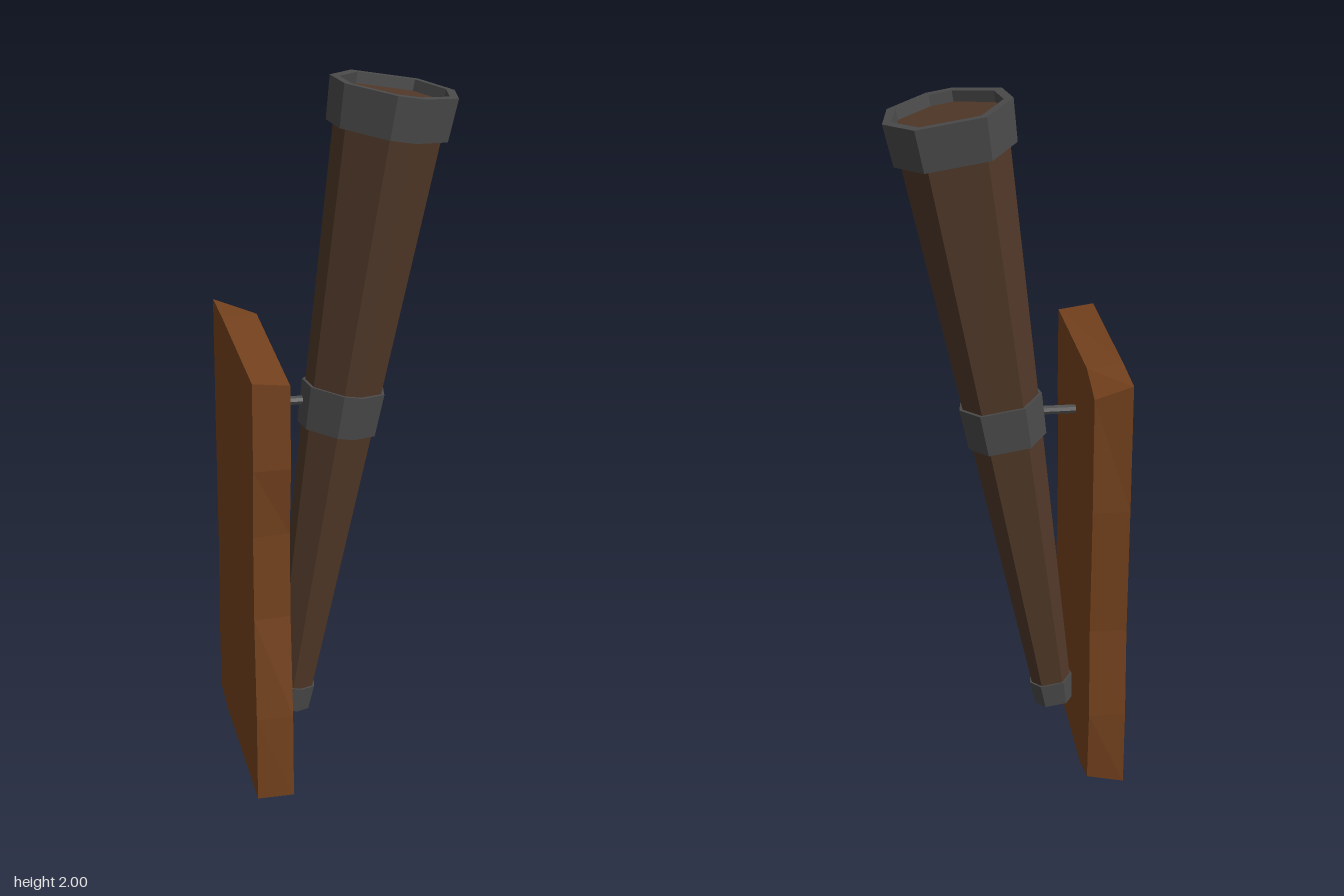
import * as THREE from 'three';

const material = (color) => new THREE.MeshStandardMaterial({ color, flatShading: true });

// Joins counter-clockwise loops of [u, v, w] points, with optional end caps
function loft(loops, capped) {
  const n = loops[0].length;
  const positions = loops.flat(2);
  const index = [];
  for (let k = 0; k < loops.length - 1; k++) {
    for (let i = 0; i < n; i++) {
      const a = k * n + i, b = k * n + (i + 1) % n;
      index.push(a, b, b + n, a, b + n, a + n);
    }
  }
  if (capped) {
    const last = (loops.length - 1) * n;
    const faces = (loop) => THREE.ShapeUtils.triangulateShape(
      loop.map(([u, v]) => new THREE.Vector2(u, v)), []);
    for (const [a, b, c] of faces(loops[0])) index.push(a, c, b);
    for (const [a, b, c] of faces(loops[loops.length - 1])) index.push(last + a, last + b, last + c);
  }
  const indexed = new THREE.BufferGeometry();
  indexed.setAttribute('position', new THREE.Float32BufferAttribute(positions, 3));
  indexed.setIndex(index);
  const geometry = indexed.toNonIndexed();
  geometry.computeVertexNormals();
  return geometry;
}

// Rough hand-cut eight-sided section shared by the shaft and its bands
const ANGLES = [-189, -152.7, -101, -77, -31.5, 12.5, 56.7, 120.7];
const octagon = (radius, w) => ANGLES.map((deg) => {
  const a = THREE.MathUtils.degToRad(deg);
  return [radius * Math.cos(a), radius * Math.sin(a), w];
});

// Hollow metal band from w0 to w1 along the shaft
const band = (w0, w1, r0, r1, inner0, inner1) => loft([
  octagon(inner0, w0), octagon(r0, w0), octagon(r1, w1), octagon(inner1, w1), octagon(inner0, w0),
], false);

export function createModel() {
  const model = new THREE.Group();
  const darkWood = material(0x503828);
  const boardWood = material(0x75421e);
  const metal = material(0x4a4a4a);

  const add = (parent, name, geometry, mat) => {
    const mesh = new THREE.Mesh(geometry, mat);
    mesh.name = name;
    parent.add(mesh);
    return mesh;
  };

  // Worn backboard: back outline and slightly smaller front outline as [z, y]
  const back = [[0.355, 0], [-0.2, 0], [-0.345, 0.02], [-0.35, 0.25], [-0.338, 0.52], [-0.35, 0.9],
    [-0.355, 1.28], [-0.19, 1.278], [0.355, 1.253], [0.354, 1.0], [0.335, 0.8], [0.335, 0.55], [0.355, 0.25]];
  const front = [[0.352, 0], [-0.2, 0], [-0.332, 0.035], [-0.347, 0.25], [-0.333, 0.52], [-0.345, 0.9],
    [-0.342, 1.24], [-0.2, 1.275], [0.35, 1.24], [0.35, 1.0], [0.322, 0.8], [0.322, 0.55], [0.35, 0.25]];
  const outline = (points, x) => points.map(([z, y]) => [-z, y, x]);
  const board = add(model, 'backboard', loft([outline(back, -0.322), outline(front, -0.217)], true), boardWood);
  board.rotation.y = Math.PI / 2;

  // Leaning torch, built along its own axis
  const torch = new THREE.Group();
  torch.name = 'torch';
  torch.position.set(-0.165, 0.112, 0);
  torch.rotation.z = -0.166;
  model.add(torch);
  const upright = new THREE.Group();
  upright.name = 'torchParts';
  upright.rotation.x = -Math.PI / 2;
  torch.add(upright);

  add(upright, 'shaft', loft([octagon(0.056, 0.012), octagon(0.106, 0.89), octagon(0.16, 1.852)], true), darkWood);
  add(upright, 'bottomBand', band(0, 0.075, 0.06, 0.066, 0.046, 0.055), metal);
  add(upright, 'middleBand', band(0.885, 1.012, 0.116, 0.123, 0.1, 0.107), metal);
  add(upright, 'topBand', band(1.76, 1.884, 0.175, 0.184, 0.15, 0.157), metal);

  // Rod holding the middle band to the board
  const rod = add(model, 'mountingRod', new THREE.CylinderGeometry(0.0135, 0.0135, 0.13, 8), metal);
  rod.rotation.z = Math.PI / 2;
  rod.position.set(-0.16, 1.07, -0.006);

  return model;
}
